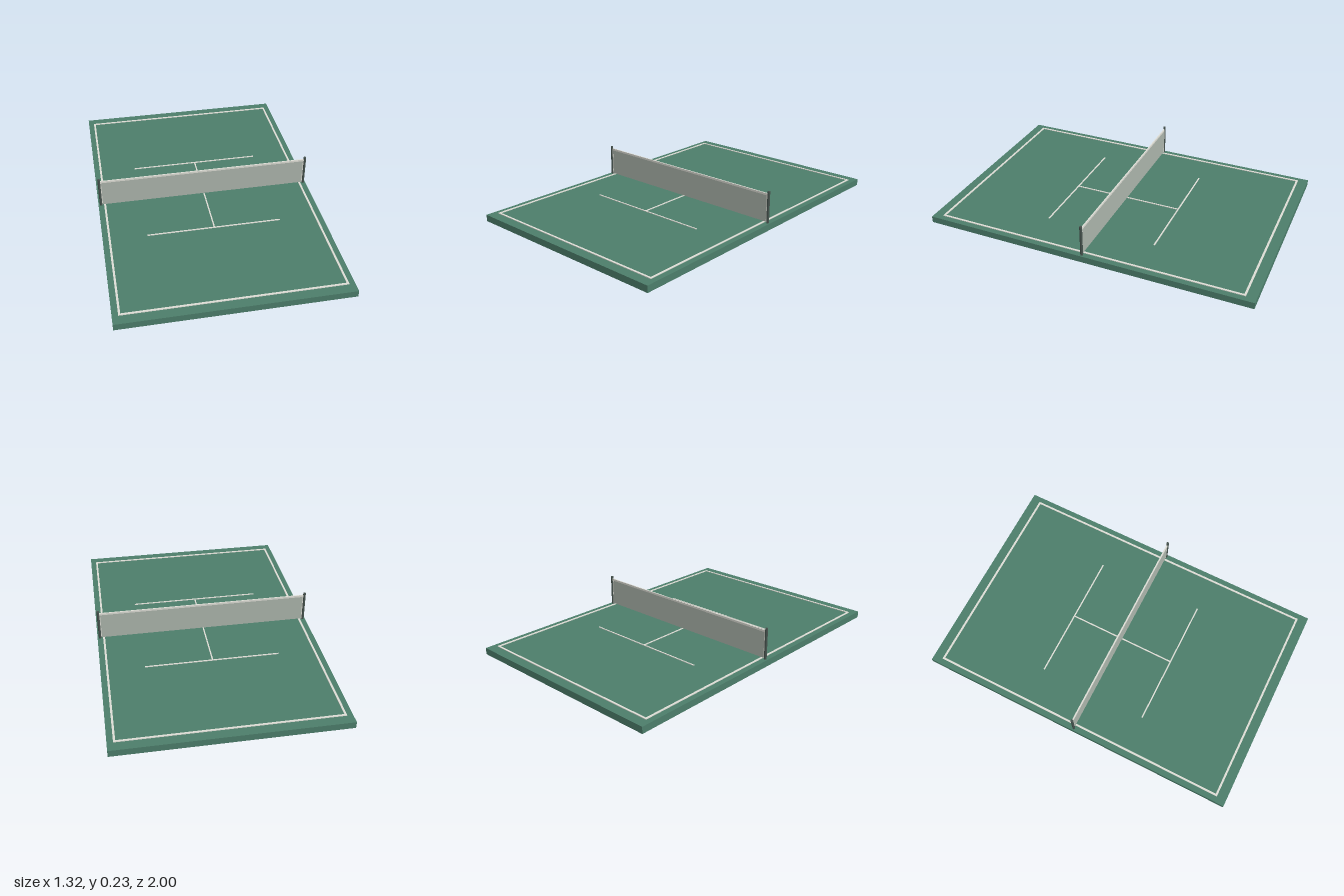
import * as THREE from 'three';

const mat = (color) => new THREE.MeshStandardMaterial({ color });

export function createModel() {
  const court = new THREE.Group();
  court.name = 'court';
  const green = mat(0x4c7d6a), white = mat(0xdcdcd4), netGrey = mat(0xabb4ab), dark = mat(0x46534e);

  const box = (name, material, [w, h, d], [x, y, z]) => {
    const mesh = new THREE.Mesh(new THREE.BoxGeometry(w, h, d), material);
    mesh.name = name;
    mesh.position.set(x, y, z);
    court.add(mesh);
  };

  // Playing slab
  const top = 0.04;
  box('slab', green, [1.32, top, 2], [0, top / 2, 0]);

  // Painted lines, slightly raised
  const lineH = 0.004;
  const line = (name, w, d, x, z) => box(name, white, [w, lineH, d], [x, top + lineH / 2, z]);
  line('centreLine', 0.008, 0.672, 0, 0);
  for (const s of [-1, 1]) {
    line('sideLine', 0.012, 1.884, s * 0.62, 0);
    line('baseLine', 1.228, 0.012, 0, s * 0.936);
    line('serviceLine', 0.8, 0.008, 0, s * 0.34);
  }

  // Net with its top band and side bands
  box('net', netGrey, [1.28, 0.167, 0.004], [0, 0.1285, 0]);
  box('netTopBand', white, [1.28, 0.012, 0.008], [0, 0.213, 0]);
  for (const s of [-1, 1]) {
    box('netSideBand', white, [0.006, 0.162, 0.006], [s * 0.635, 0.126, 0]);

    // Net post
    const post = new THREE.Mesh(new THREE.CylinderGeometry(0.008, 0.008, 0.193, 16), dark);
    post.name = 'netPost';
    post.position.set(s * 0.644, top + 0.0965, 0);
    court.add(post);
  }
  return court;
}
